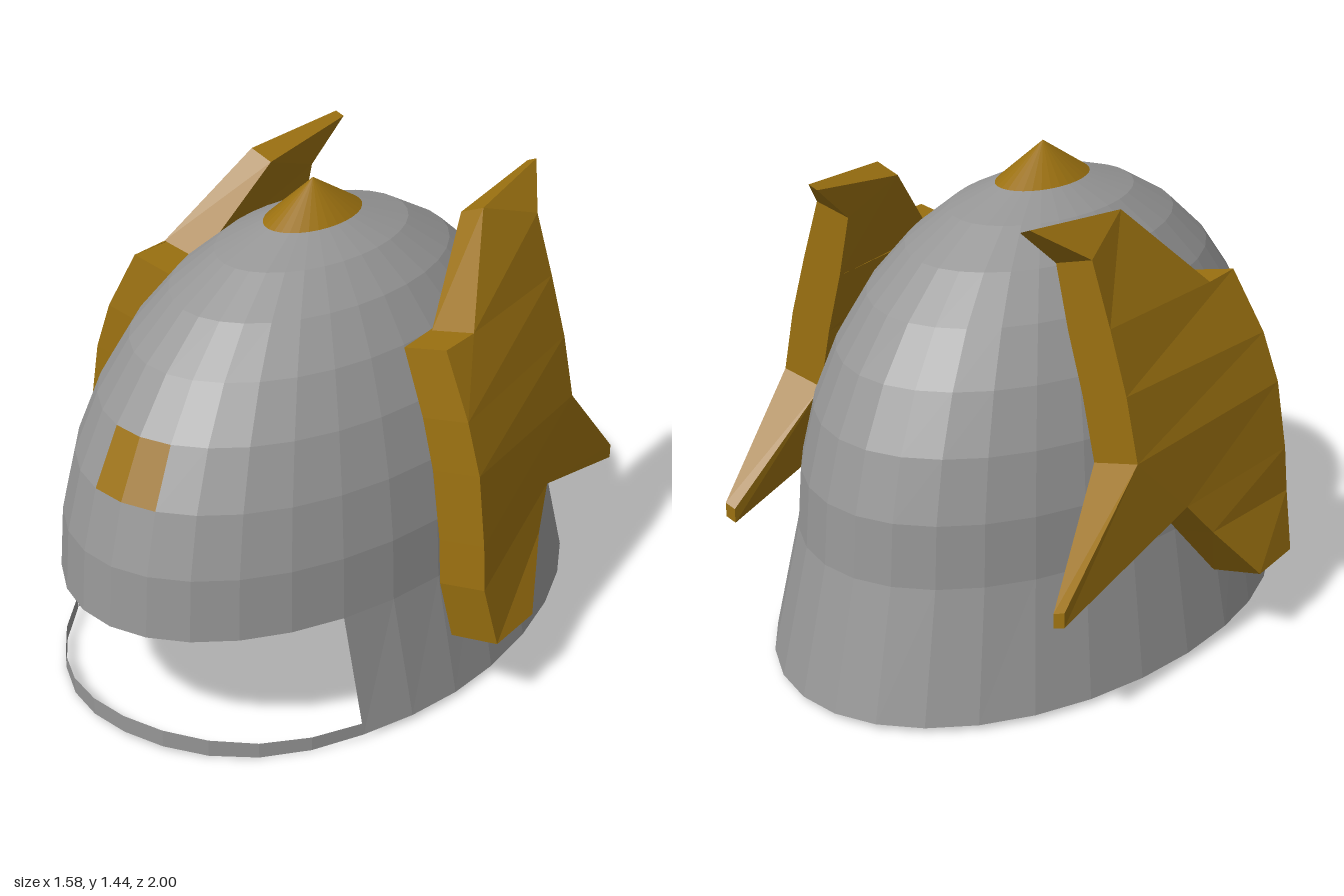
import * as THREE from 'three';

const SEGMENTS = 32;
const STEP = (Math.PI * 2) / SEGMENTS;
const VISOR = 5; // segments each side of the centre line that the face opening spans

// Flat-faceted geometry from convex polygons given as lists of [x, y, z] corners
function facets(polygons) {
  const out = [];
  for (const p of polygons) {
    for (let i = 1; i < p.length - 1; i++) out.push(...p[0], ...p[i], ...p[i + 1]);
  }
  const geometry = new THREE.BufferGeometry();
  geometry.setAttribute('position', new THREE.Float32BufferAttribute(out, 3));
  geometry.computeVertexNormals();
  return geometry;
}

// Point on the half-ellipsoid bowl: i counts rings upward, j runs around from the front
function bowl(i, j) {
  const c = Math.cos(i * STEP);
  return [0.6 * c * Math.sin(j * STEP), 0.4 + 0.95 * Math.sin(i * STEP), 0.05 + 0.945 * c * Math.cos(j * STEP)];
}

// Point on the lower rim at height y
function rim(j, y) {
  const c = Math.cos(j * STEP);
  return [0.67 * Math.sin(j * STEP), y, 0.05 + (c > 0 ? 0.91 : 1.05) * c];
}

const barBottom = [0.02, 0.016, 0.008, 0.003, 0.006, 0.015];
const barTop = [0.075, 0.071, 0.061, 0.051, 0.05, 0.055];
const rimY = (j) => barBottom[Math.abs(j)] ?? 0.018;

// Wing plate outline and inner seams: [z, y, outer x, inner x]
const wingPoints = [
  [0.225, 0.24, 0.79, 0.635], [0.03, 0.24, 0.79, 0.635],       // 0 1 foot
  [0.25, 0.42, 0.755, 0.605], [-0.125, 0.42, 0.71, 0.565],     // 2 3
  [0.245, 0.56, 0.745, 0.595], [-0.22, 0.53, 0.675, 0.535],    // 4 5
  [0.235, 0.77, 0.715, 0.56], [-0.425, 0.73, 0.63, 0.49],      // 6 7
  [0.225, 0.92, 0.665, 0.515], [-0.425, 0.92, 0.59, 0.45],     // 8 9
  [0.2, 1.105, 0.57, 0.43], [0.06, 1.105, 0.57, 0.43],         // 10 11 shoulder
  [-0.425, 1.105, 0.535, 0.4],                                 // 12
  [-0.2, 1.365, 0.425, 0.35], [-0.425, 1.29, 0.475, 0.36],     // 13 14
  [-0.575, 1.395, 0.375, 0.345],                               // 15 upper tip
  [-0.75, 0.365, 0.605, 0.57], [-0.75, 0.41, 0.605, 0.57],     // 16 17 lower tip
];
const wingFaces = [
  [0, 1, 3, 2], [2, 3, 5, 4], [4, 5, 7, 6], [6, 7, 9, 8], [8, 9, 12, 11, 10],
  [11, 12, 14, 13], [13, 14, 15], [5, 16, 17, 7],
];

// Thick plate: outer skin, inner skin and a wall along every open edge
function wingGeometry(side) {
  const outer = wingPoints.map(([z, y, x]) => [side * x, y, z]);
  const inner = wingPoints.map(([z, y, , x], i) => [side * x, y - (i > 14 ? 0.012 : 0.03), z]);
  const edges = new Set();
  for (const f of wingFaces) f.forEach((a, k) => edges.add(`${a},${f[(k + 1) % f.length]}`));
  const polygons = [];
  for (const f of wingFaces) {
    polygons.push(f.map((i) => outer[i]), f.map((i) => inner[i]).reverse());
    f.forEach((a, k) => {
      const b = f[(k + 1) % f.length];
      if (!edges.has(`${b},${a}`)) polygons.push([outer[a], inner[a], inner[b], outer[b]]);
    });
  }
  if (side < 0) polygons.forEach((p) => p.reverse());
  return facets(polygons);
}

export function createModel() {
  const steel = new THREE.MeshStandardMaterial({ color: 0x969696, side: THREE.DoubleSide, flatShading: true });
  steel.name = 'steel grey';
  const gold = new THREE.MeshStandardMaterial({ color: 0x9a7010, side: THREE.DoubleSide, flatShading: true });
  gold.name = 'dark gold';

  const model = new THREE.Group();
  model.name = 'helmet';
  const add = (name, geometry, material) => {
    const mesh = new THREE.Mesh(geometry, material);
    mesh.name = name;
    model.add(mesh);
  };

  const dome = [], emblem = [], skirt = [], bar = [], cap = [];
  const apex = [0, 1.44, 0.05];
  for (let j = -SEGMENTS / 2; j < SEGMENTS / 2; j++) {
    // Bowl rings, with the two-facet brow emblem picked out
    for (let i = 0; i < 7; i++) {
      const isEmblem = i === 2 && (j === -1 || j === 0);
      (isEmblem ? emblem : dome).push([bowl(i, j), bowl(i, j + 1), bowl(i + 1, j + 1), bowl(i + 1, j)]);
    }
    // Pointed crown
    cap.push([bowl(7, j), bowl(7, j + 1), apex]);
    // Flared neck guard, or the thin wavy bar below the face opening
    const a = rim(j, rimY(j)), b = rim(j + 1, rimY(j + 1));
    if (j >= -VISOR && j < VISOR) {
      bar.push([a, b, rim(j + 1, barTop[Math.abs(j + 1)]), rim(j, barTop[Math.abs(j)])]);
    } else {
      skirt.push([a, b, bowl(0, j + 1), bowl(0, j)]);
    }
  }
  add('dome', facets(dome), steel);
  add('neckGuard', facets(skirt), steel);
  add('chinBar', facets(bar), steel);
  add('browEmblem', facets(emblem), gold);
  add('crownPoint', facets(cap), gold);

  // Side wings
  add('leftWing', wingGeometry(1), gold);
  add('rightWing', wingGeometry(-1), gold);
  return model;
}
